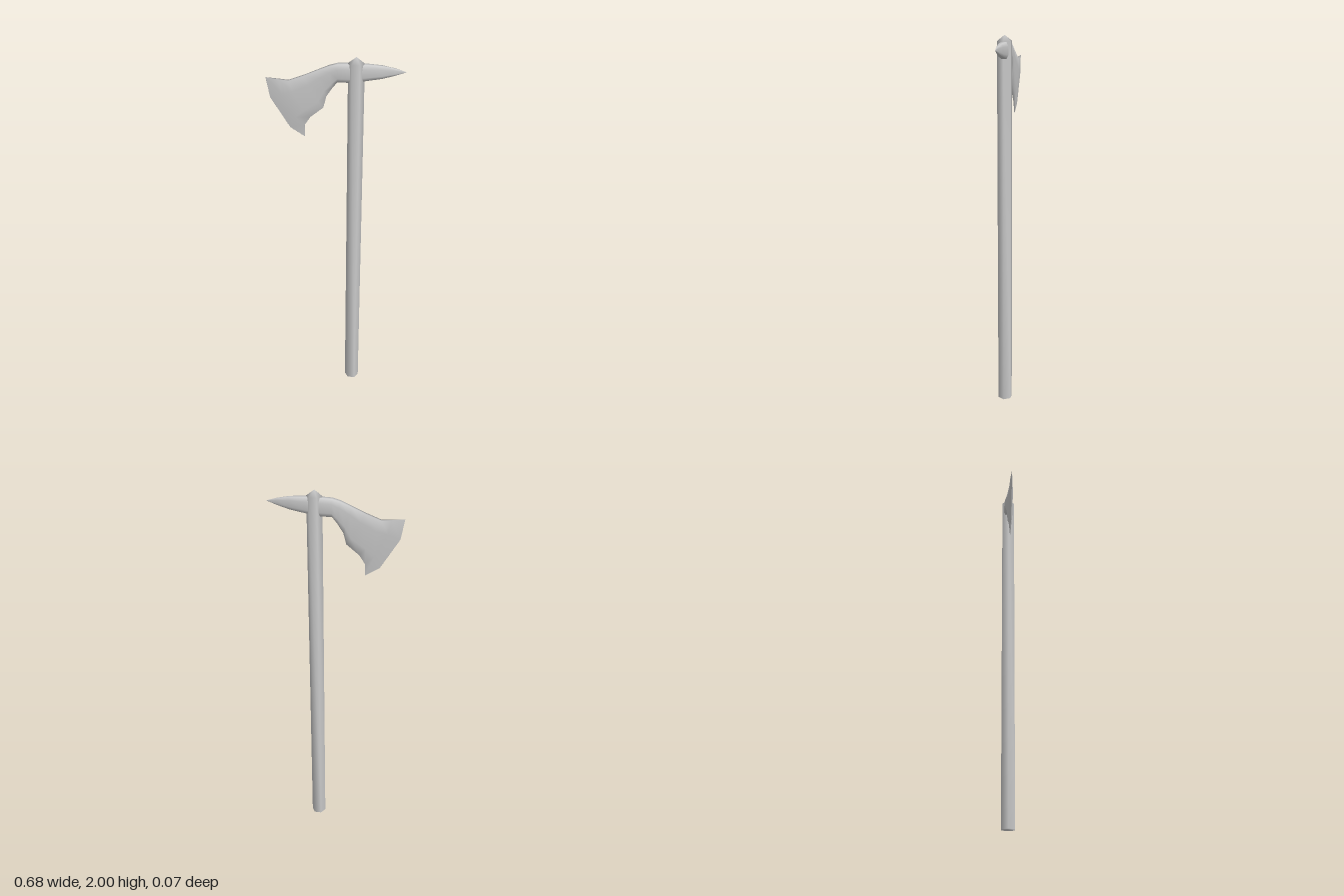
import * as THREE from 'three';
import { mergeVertices } from 'three/addons/utils/BufferGeometryUtils.js';

const steel = new THREE.MeshStandardMaterial({ color: 0xcccccc });
steel.name = 'pale grey';

// Lofts smooth skin over sections [topX, topY, bottomX, bottomY, halfThickness, bow].
// Bow pushes the middle of a section outward to round the cutting edge.
function loftHead(sections) {
  const levels = [0, 0.27, 0.78, 1];
  const fullness = [0.6, 1, 1, 0.6];
  const centreZ = -0.003;
  const ring = levels.length * 2;
  const positions = [];
  const index = [];
  for (const [tx, ty, bx, by, half, bow] of sections) {
    const dx = bx - tx, dy = by - ty;
    const length = Math.hypot(dx, dy) || 1;
    for (let j = 0; j < ring; j++) {
      const front = j < levels.length;
      const k = front ? j : ring - 1 - j;
      const push = k === 0 || k === 3 ? 0 : bow;
      positions.push(
        tx + dx * levels[k] + (dy / length) * push,
        ty + dy * levels[k] - (dx / length) * push,
        centreZ + (front ? 1 : -1) * half * fullness[k]
      );
    }
  }
  for (let i = 0; i < sections.length - 1; i++) {
    for (let j = 0; j < ring; j++) {
      const next = (j + 1) % ring;
      const a = i * ring + j, c = i * ring + next;
      const b = a + ring, d = c + ring;
      index.push(a, b, c, b, d, c);
    }
  }
  const geometry = new THREE.BufferGeometry();
  geometry.setAttribute('position', new THREE.Float32BufferAttribute(positions, 3));
  geometry.setIndex(index);
  geometry.computeVertexNormals();
  return geometry;
}

// Six-sided shaft with a low pointed top, smooth across its corners
function shaftGeometry() {
  const profile = [[0, 0], [0.04, 0], [0.04, 1.97], [0, 2]].map(([r, y]) => new THREE.Vector2(r, y));
  const lathe = new THREE.LatheGeometry(profile, 6, Math.PI / 6);
  lathe.deleteAttribute('normal');
  lathe.deleteAttribute('uv');
  const geometry = mergeVertices(lathe);
  geometry.computeVertexNormals();
  return geometry;
}

export function createModel() {
  const model = new THREE.Group();
  model.name = 'axe';

  const shaft = new THREE.Mesh(shaftGeometry(), steel);
  shaft.name = 'shaft';
  shaft.position.x = 0.1;
  model.add(shaft);

  // Head: rear spike, socket through the shaft, neck, flared blade
  const head = new THREE.Mesh(loftHead([
    [0.338, 1.935, 0.338, 1.933, 0, 0],
    [0.285, 1.95, 0.285, 1.916, 0.007, 0],
    [0.225, 1.961, 0.225, 1.9, 0.014, 0],
    [0.14, 1.966, 0.14, 1.886, 0.021, 0],
    [0.07, 1.966, 0.07, 1.876, 0.023, 0],
    [0.01, 1.964, 0.01, 1.876, 0.022, 0],
    [-0.03, 1.953, -0.015, 1.845, 0.019, 0],
    [-0.09, 1.928, -0.045, 1.8, 0.016, 0],
    [-0.155, 1.9, -0.06, 1.742, 0.0145, 0.004],
    [-0.23, 1.872, -0.125, 1.69, 0.013, 0.01],
    [-0.28, 1.877, -0.155, 1.645, 0.01, 0.02],
    [-0.342, 1.883, -0.155, 1.582, 0.001, 0.038],
    [-0.343, 1.883, -0.155, 1.581, 0, 0.038],
  ]), steel);
  head.name = 'axeHead';
  model.add(head);

  return model;
}
